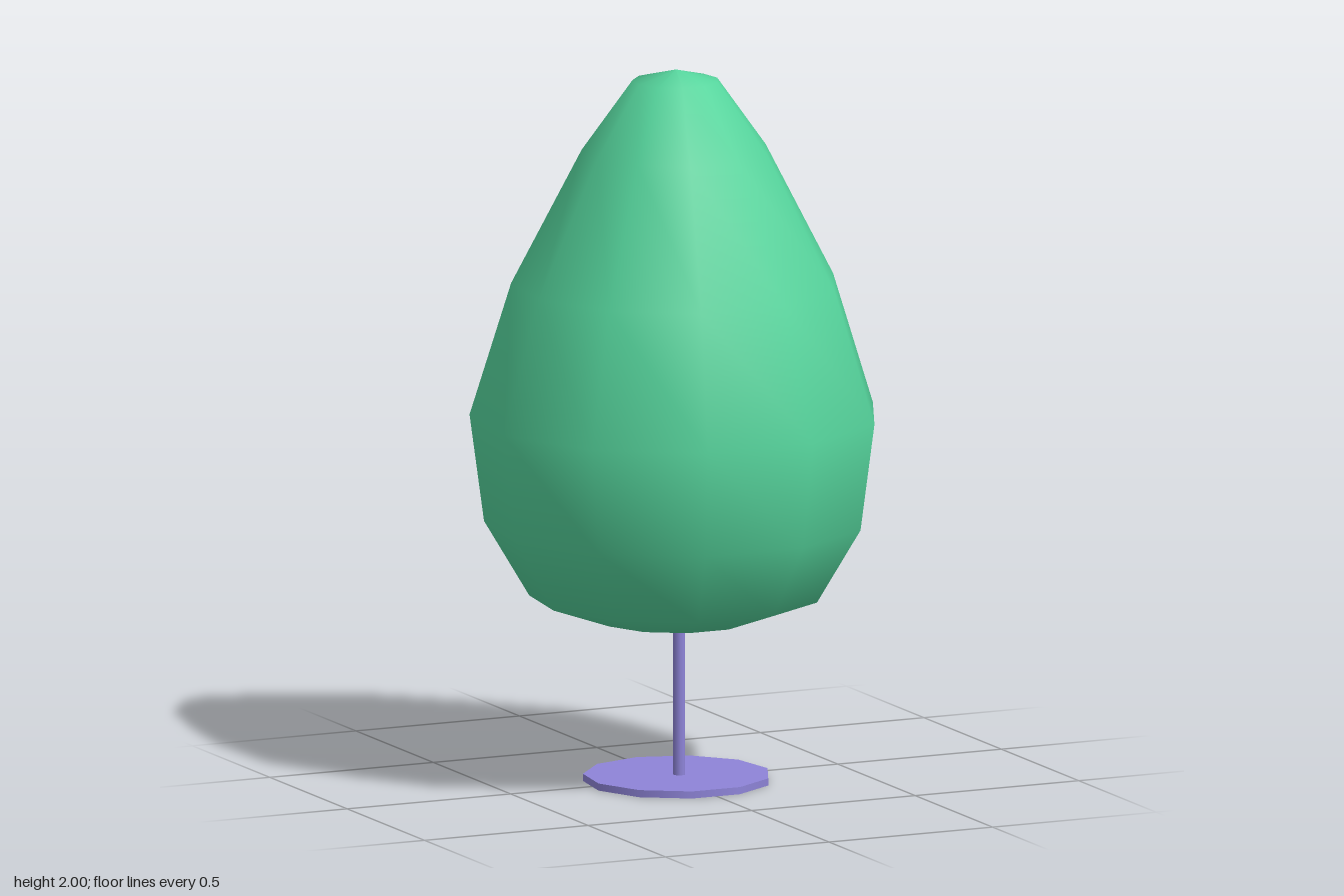
import * as THREE from 'three';

const SIDES = 11;

export function createModel() {
  const tree = new THREE.Group();
  tree.name = 'tree';
  const green = new THREE.MeshStandardMaterial({ color: 0x55d49c });
  const violet = new THREE.MeshStandardMaterial({ color: 0x8e84d8 });

  const add = (name, geometry, material, x, y, z) => {
    const mesh = new THREE.Mesh(geometry, material);
    mesh.name = name;
    mesh.position.set(x, y, z);
    tree.add(mesh);
  };

  // Egg-shaped crown: smooth shaded, profile from bottom to top, one corner to the back
  const profile = [
    [0, 0.445], [0.22, 0.455], [0.405, 0.52], [0.53, 0.73], [0.57, 1.03],
    [0.455, 1.4], [0.26, 1.775], [0.12, 1.97], [0, 2],
  ].map(([r, y]) => new THREE.Vector2(r, y));
  add('crown', new THREE.LatheGeometry(profile, SIDES, Math.PI), green, 0, 0, 0.01);

  // Thin trunk reaching the underside of the crown
  add('trunk', new THREE.CylinderGeometry(0.017, 0.017, 0.44, SIDES, 1, false, Math.PI), violet, -0.002, 0.235, 0.037);

  // Flat base plate
  add('base', new THREE.CylinderGeometry(0.261, 0.261, 0.02, SIDES, 1, false, Math.PI), violet, -0.002, 0.01, 0.024);

  return tree;
}
